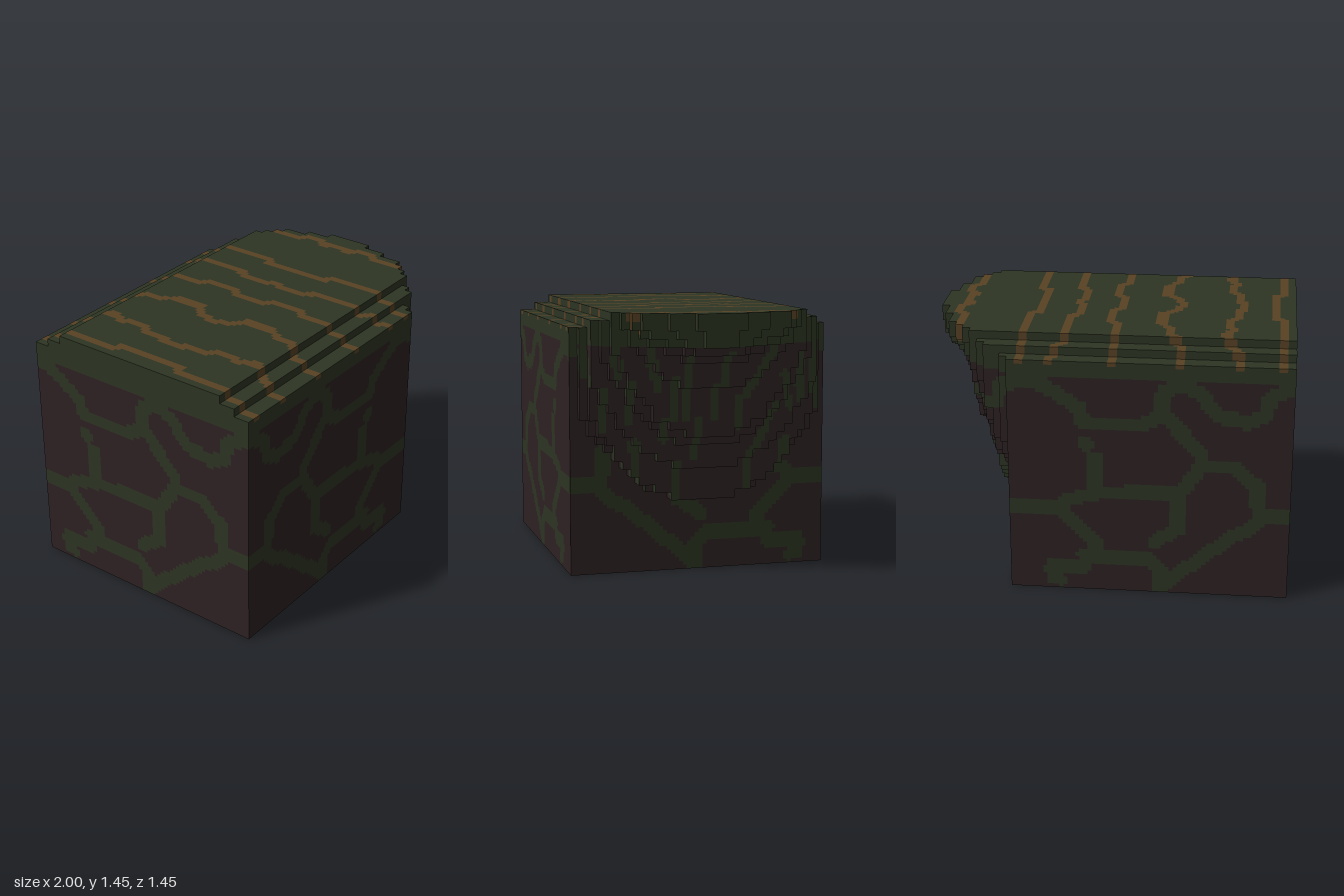
import * as THREE from 'three';

const S = 1 / 22;                  // voxel size
const NX = 44, NY = 32, NZ = 32, BODY = 34;
const Z0 = 16 * S;                 // half depth
const TILE = 32 * S;               // the vein pattern repeats every 32 voxels

// Moss vein centre lines on the walls: x, y pairs
const VEINS = [
  [-1, .5, -.85, .5, -.78, .42, -.68, .36, -.3, .04, -.3, 0],
  [-.3, .03, -.3, .13, -.22, .21, .13, .21],
  [.1, .21, .14, .14, .31, .14, .32, .11],
  [.27, .05, .3, .06],
  [-.82, .57, -.82, .67, -.7, .78, -.52, .78, -.5, .87, -.3, 1.08, -.3, 1.2, -.4, 1.27],
  [-.3, 1.07, -.17, 1.01, .13, 1.01, .15, 1.1, .35, 1.23, .46, 1.25],
  [-.51, .78, -.4, .62, .05, .6, .22, .55, .26, .5, .56, .5],
  [.06, .62, .07, .81],
  [.11, .88, .12, .9],
  [-.39, .6, -.39, .4, -.26, .31],
  [.26, .5, .18, .4, .07, .3, .06, .21],
  [-1, 1.26, -.87, 1.2, -.85, 1.1, -.75, 1.05, -.6, 1.08, -.5, 1.2, -.4, 1.25],
];

// Moss streaks hanging on the overhang: z, y to z, y
const STREAKS = [
  [.66, 1.12, .66, 1.27], [.57, .81, .57, 1.02], [.61, .57, .61, .67], [.5, 1.12, .53, 1.27],
  [.43, .87, .43, 1.06], [.38, .57, .4, .74], [.29, 1.04, .35, 1.25], [.2, .89, .2, 1.09],
  [.24, .76, .25, .86], [.13, .88, .14, 1.2], [.16, .44, .16, .61], [.07, .66, .07, .86],
  [-.02, .88, -.02, 1.04], [-.07, 1.06, -.07, 1.22], [-.16, .83, -.16, .98],
  [-.2, 1.0, -.34, 1.24], [-.25, .43, -.25, .65], [-.28, .68, -.39, .93], [-.46, .61, -.47, .73],
  [-.48, .92, -.42, 1.1], [-.54, .95, -.53, 1.2], [-.62, 1.0, -.61, 1.25], [-.66, .92, -.66, 1.04],
];

// Stripes across the top: |z|, x pairs from the middle outwards
const STRIPES = [
  [0, -.89, .21, -.89, .22, -.93, .75, -.93],
  [0, -.7, .2, -.68, .26, -.63, .33, -.63, .4, -.66, .47, -.62, .53, -.63, .6, -.69, .75, -.71],
  [0, -.36, .1, -.33, .16, -.26, .33, -.26, .4, -.31, .5, -.32, .57, -.38, .75, -.39],
  [0, -.02, .1, -.02, .13, .02, .33, .02, .37, -.03, .75, -.03],
  [0, .23, .05, .2, .2, .2, .24, .24, .55, .25, .64, .3, .75, .32],
  [0, .43, .2, .43, .23, .48, .75, .48],
  [0, .86, .1, .85, .13, .88, .24, .88, .28, .84, .46, .84],
];

function segmentDistance(x, y, ax, ay, bx, by) {
  const dx = bx - ax, dy = by - ay;
  const t = Math.min(1, Math.max(0, ((x - ax) * dx + (y - ay) * dy) / (dx * dx + dy * dy)));
  return Math.hypot(x - ax - t * dx, y - ay - t * dy);
}

function nearLine(lines, x, y, radius) {
  return lines.some((p) => {
    for (let i = 0; i + 3 < p.length; i += 2)
      if (segmentDistance(x, y, p[i], p[i + 1], p[i + 2], p[i + 3]) < radius) return true;
    return false;
  });
}

// Overhang outline: reach at the rim by distance from the middle, and the lowest voxel of each layer
const RIM = [10, 10, 10, 9, 9, 9, 8, 8, 8, 7, 6, 5, 4, 3, 1, 0];
const LOWEST = [9, 9, 13, 16, 17, 23, 26, 27, 27, 28];

function fromMiddle(k) { return k < 16 ? 15 - k : k - 16; }

function solid(i, j, k) {
  if (i < 0 || j < 0 || k < 0 || i >= NX || j >= NY || k >= NZ) return false;
  const m = fromMiddle(k);
  if (j >= (m > 13 ? 30 : m > 11 ? 31 : 32)) return false;   // stepped long edges
  if (i < BODY) return true;
  const layer = i - BODY + 1;
  if (RIM[m] < layer) return false;
  const widest = RIM.filter((r) => r >= layer).length - 1;
  const low = LOWEST[layer - 1];
  return j >= Math.round(low + Math.min(10, 30 - low) * (m / widest) ** 2.3);
}

const ROCK = 0, MOSS = 1, STRIPE = 2;

// Colour of a point on a face, by its direction
function paint(axis, sign, [x, y, z], overhang) {
  const stripe = () => nearLine(STRIPES, Math.abs(z), x, .025);
  if (axis === 1) return sign < 0 ? ROCK : stripe() ? STRIPE : MOSS;
  if (y > 28 * S) {
    const striped = axis === 2 ? y > 1.335 : sign > 0 && y > 31 * S;
    return striped && stripe() ? STRIPE : MOSS;
  }
  if (axis === 0 && overhang) return nearLine(STREAKS, z, y, .026) ? MOSS : ROCK;
  const u = axis === 0 ? Z0 - z : x + 1;
  return nearLine(VEINS, (u % TILE) - 1, y, .041) ? MOSS : ROCK;
}

// Exposed voxel faces of one part, each cut in four and sorted by colour
function voxelPart(name, from, to, materials) {
  const quads = [[], [], []];
  const face = (cell, axis, sign, overhang) => {
    const a = (axis + 1) % 3, b = (axis + 2) % 3;
    for (let s = 0; s < 2; s++) for (let t = 0; t < 2; t++) {
      const at = (da, db) => {
        const p = [...cell];
        p[axis] += sign > 0 ? 1 : 0;
        p[a] += (s + da) / 2;
        p[b] += (t + db) / 2;
        return [p[0] * S - 1, p[1] * S, p[2] * S - Z0];
      };
      const c = [at(0, 0), at(1, 0), at(1, 1), at(0, 1)];
      if (sign < 0) c.reverse();
      const list = quads[paint(axis, sign, at(.5, .5), overhang)];
      for (const n of [0, 1, 2, 0, 2, 3]) list.push(...c[n]);
    }
  };
  for (let i = from; i < to; i++) for (let j = 0; j < NY; j++) for (let k = 0; k < NZ; k++) {
    if (!solid(i, j, k)) continue;
    for (let axis = 0; axis < 3; axis++) for (const sign of [-1, 1]) {
      const next = [i, j, k];
      next[axis] += sign;
      if (!solid(...next)) face([i, j, k], axis, sign, i >= BODY);
    }
  }
  const part = new THREE.Group();
  part.name = name;
  ['Rock', 'Moss', 'Stripes'].forEach((label, n) => {
    if (!quads[n].length) return;
    const geometry = new THREE.BufferGeometry();
    geometry.setAttribute('position', new THREE.Float32BufferAttribute(quads[n], 3));
    geometry.computeVertexNormals();
    const mesh = new THREE.Mesh(geometry, materials[n]);
    mesh.name = name + label;
    part.add(mesh);
  });
  return part;
}

export function createModel() {
  const flat = (name, color) => {
    const material = new THREE.MeshStandardMaterial({ color });
    material.name = name;
    return material;
  };
  const materials = [
    flat('dark rock', 0x2e2223), flat('moss green', 0x2d3523), flat('earth brown', 0x5a4224),
  ];
  const model = new THREE.Group();
  model.name = 'mossyCliff';
  model.add(voxelPart('cliffBlock', 0, BODY, materials));
  model.add(voxelPart('overhang', BODY, NX, materials));
  return model;
}
